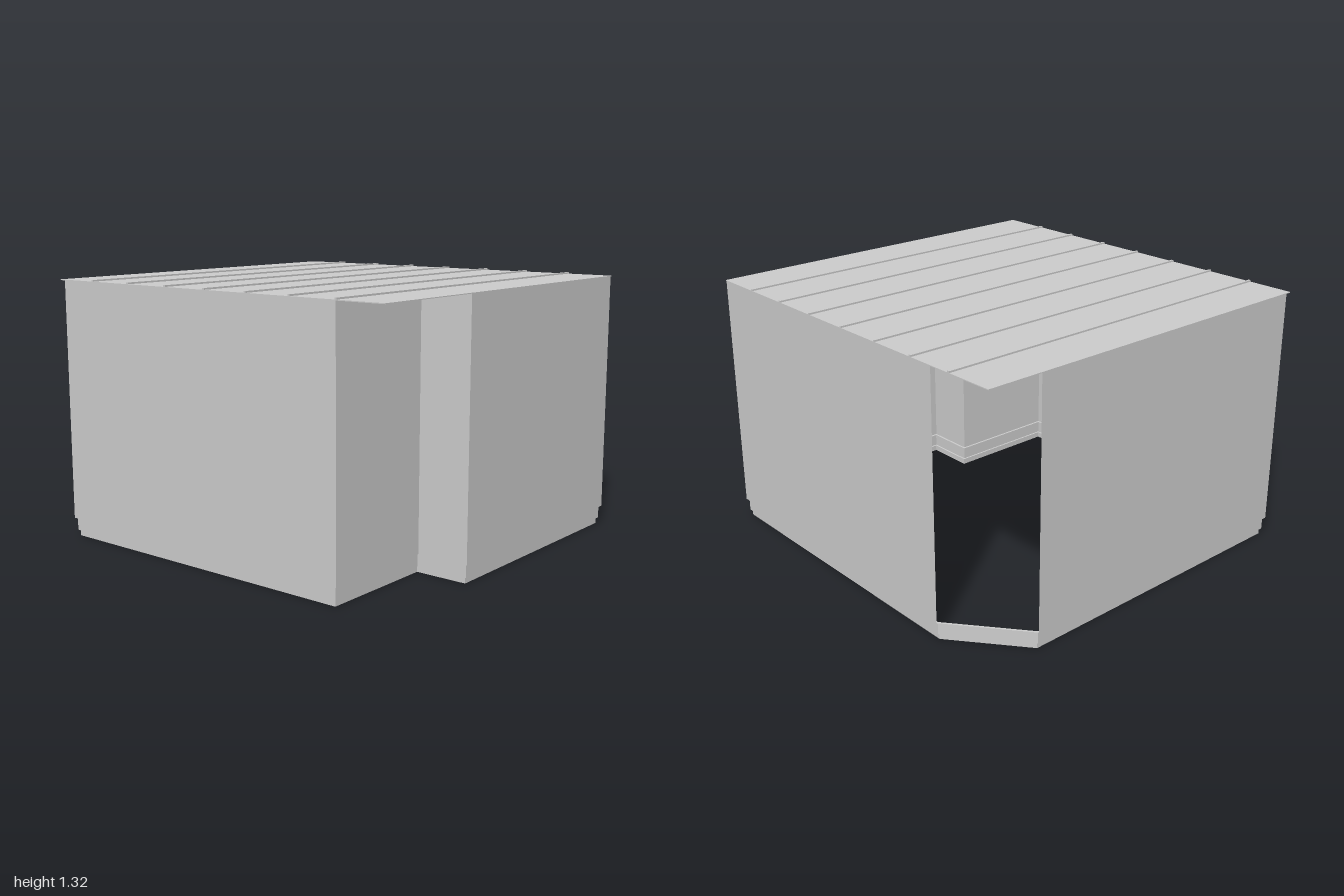
import * as THREE from 'three';

// Footprint [x, z], from the front corner round the notch to the cut corner
const OUTLINE = [
  [-0.997, 0.943], [0.73, 0.943], [0.73, 0.342], [0.995, 0.342],
  [0.995, -0.967], [-0.64, -0.967], [-0.997, -0.68],
];
const OPEN_EDGE = 5; // the cut corner has no wall

// Footprint moved inwards by d, with mitred corners
function inset(d) {
  const n = OUTLINE.length;
  const normals = OUTLINE.map(([x, z], i) => {
    const [x2, z2] = OUTLINE[(i + 1) % n];
    return new THREE.Vector2(z2 - z, x - x2).normalize();
  });
  return OUTLINE.map(([x, z], i) => {
    const a = normals[(i + n - 1) % n], b = normals[i];
    const k = d / (1 + a.dot(b));
    return [x + (a.x + b.x) * k, z + (a.y + b.y) * k];
  });
}

// Sheet running round the footprint; levels are [inset, y] from top to bottom
function band(levels, skip = -1) {
  const pos = [];
  const rings = levels.map(([d, y]) => inset(d).map(([x, z]) => [x, y, z]));
  for (let l = 0; l + 1 < rings.length; l++) {
    const top = rings[l], low = rings[l + 1];
    for (let i = 0; i < top.length; i++) {
      if (i === skip) continue;
      const j = (i + 1) % top.length;
      pos.push(...low[i], ...low[j], ...top[j], ...low[i], ...top[j], ...top[i]);
    }
  }
  const geo = new THREE.BufferGeometry();
  geo.setAttribute('position', new THREE.Float32BufferAttribute(pos, 3));
  geo.computeVertexNormals();
  return geo;
}

export function createModel() {
  const group = new THREE.Group();
  const mat = new THREE.MeshStandardMaterial({ color: 0xcccccc, side: THREE.DoubleSide });
  const add = (name, geo, x = 0, y = 0, z = 0) => {
    const mesh = new THREE.Mesh(geo, mat);
    mesh.name = name;
    mesh.position.set(x, y, z);
    group.add(mesh);
  };

  // Thin walls, open at the cut corner
  add('walls', band([[0, 1.31], [0, 0.094]], OPEN_EDGE));

  // Stepped base running all the way round
  add('skirting', band([[0, 0.094], [0.011, 0.094], [0.011, 0.03]]));
  add('plinth', band([[0.011, 0.03], [0.02, 0.03], [0.02, 0]]));

  // Flat roof sheet, overhanging the front and the notch
  add('roof', new THREE.BoxGeometry(2, 0.004, 1.936), 0, 1.312, 0);

  // Standing seams from front to back
  for (let i = -3; i <= 3; i++) {
    add('roofSeam', new THREE.BoxGeometry(0.012, 0.008, 1.936), -0.004 + i * 0.251, 1.318, 0);
  }
  return group;
}
